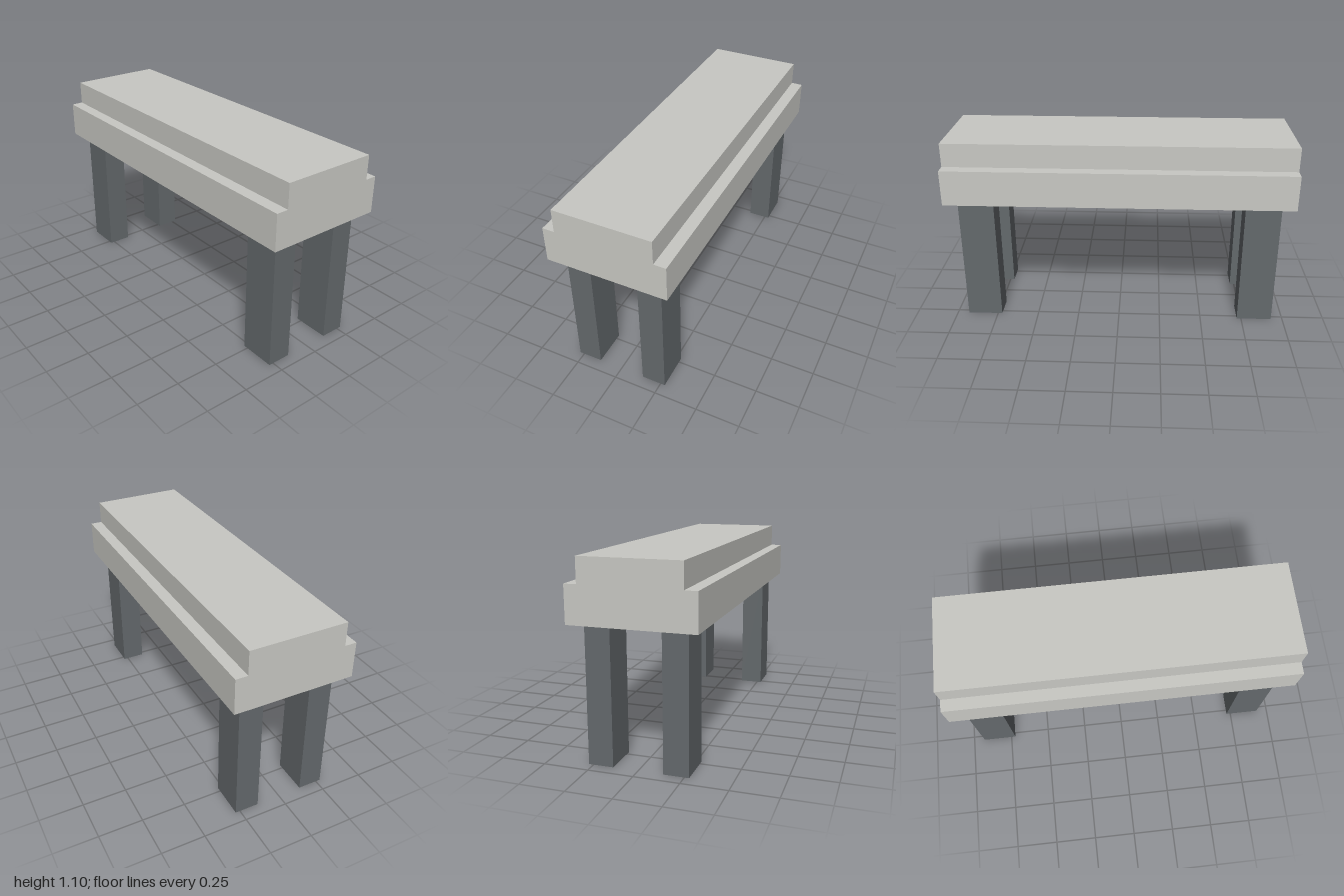
import * as THREE from 'three';

// Everything sits on a module: the bench is 29 modules long.
const U = 2 / 29;

export function createModel() {
  const stone = new THREE.MeshStandardMaterial({ color: 0xc8c8c3 });
  stone.name = 'pale stone';
  const slate = new THREE.MeshStandardMaterial({ color: 0x64696c, side: THREE.DoubleSide });
  slate.name = 'dark slate';

  const model = new THREE.Group();
  model.name = 'bench';

  // Stepped slab: one cross-section run along z
  const profile = new THREE.Shape(
    [[-5, 11], [5, 11], [5, 14], [4, 14], [4, 16], [-4, 16], [-4, 14], [-5, 14]]
      .map(([x, y]) => new THREE.Vector2(x * U, y * U))
  );
  const slabGeometry = new THREE.ExtrudeGeometry(profile, { depth: 29 * U, bevelEnabled: false });
  slabGeometry.translate(0, 0, -14.5 * U);
  const slab = new THREE.Mesh(slabGeometry, stone);
  slab.name = 'slab';
  model.add(slab);

  // Hollow legs: a box without its top and bottom faces
  const legGeometry = new THREE.BoxGeometry(2 * U, 11 * U, 3 * U);
  const index = Array.from(legGeometry.index.array);
  index.splice(12, 12);
  legGeometry.setIndex(index);
  legGeometry.clearGroups();

  for (const [end, z] of [['front', 1], ['back', -1]]) {
    for (const [side, x] of [['Left', 1], ['Right', -1]]) {
      const leg = new THREE.Mesh(legGeometry, slate);
      leg.name = `${end}${side}Leg`;
      leg.position.set(x * 3 * U, 5.5 * U, z * 12 * U);
      model.add(leg);
    }
  }
  return model;
}
